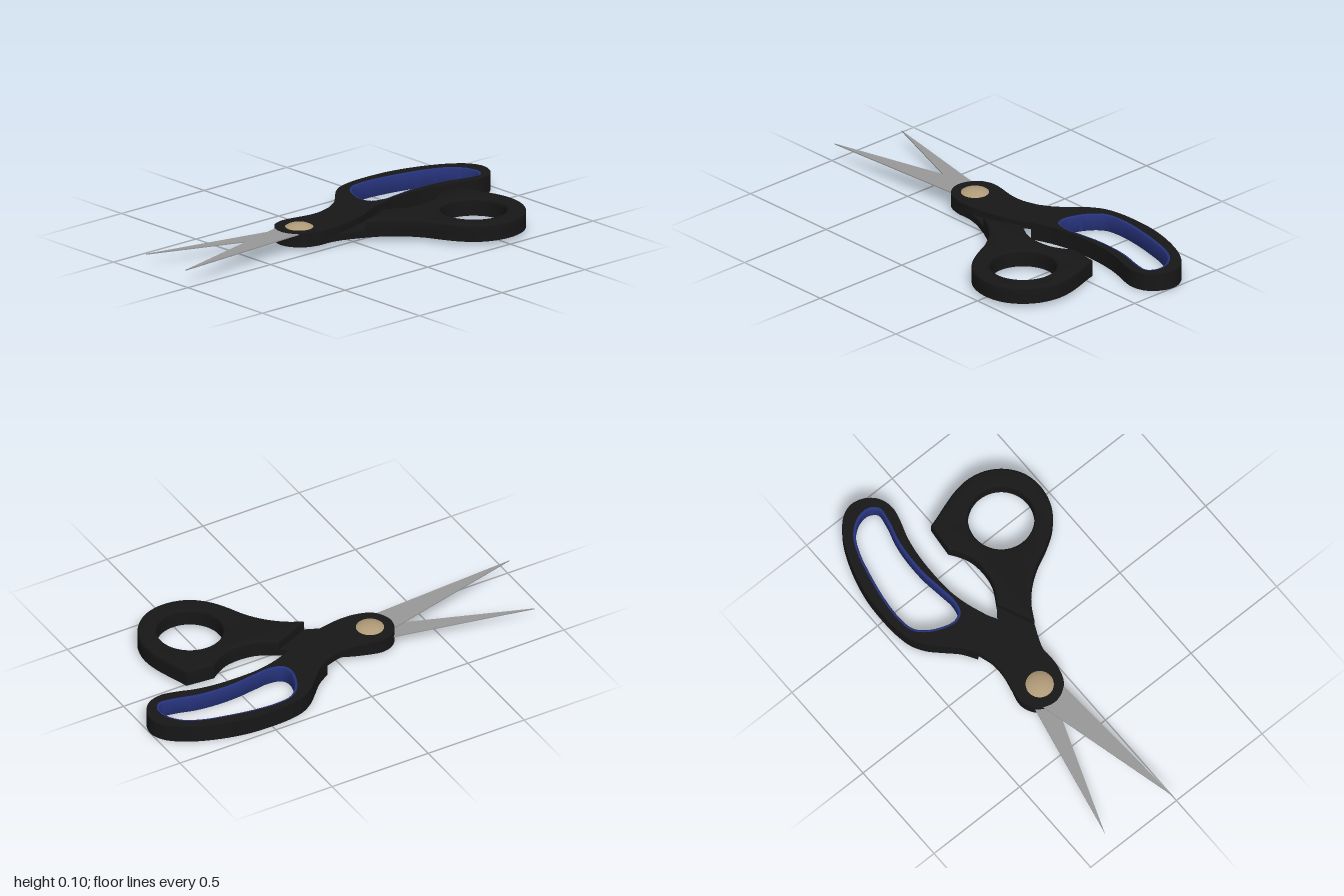
import * as THREE from 'three';
import { toCreasedNormals } from 'three/addons/utils/BufferGeometryUtils.js';

const mat = (color) => new THREE.MeshStandardMaterial({ color });
const black = mat(0x171717), blue = mat(0x26327a), steel = mat(0x989898), brass = mat(0xb09a78);

// Smooth curve through [x, y] points; y of a plan shape points to the back (-z)
function smooth(points, closed = false) {
  const curve = new THREE.CatmullRomCurve3(points.map(([x, y]) => new THREE.Vector3(x, y, 0)), closed);
  const dense = curve.getPoints(points.length * 5).map((p) => new THREE.Vector2(p.x, p.y));
  return dense.slice(0, -1);
}

// Closed outline made of smooth runs that meet at corners
const outline = (...runs) => runs.flatMap((r) => smooth(r));

// Moves a clockwise loop inwards by d
function inset(loop, d) {
  return loop.map((p, i) => {
    const a = loop[(i + loop.length - 1) % loop.length], b = loop[(i + 1) % loop.length];
    const t = b.clone().sub(a).normalize();
    return new THREE.Vector2(p.x + t.y * d, p.y - t.x * d);
  });
}

// Copy of a loop, wound clockwise or counter-clockwise
function wound(loop, clockwise) {
  return THREE.ShapeUtils.isClockWise(loop) === clockwise ? [...loop] : [...loop].reverse();
}

// Flat plate between heights y0 and y1, with optional hole and rounded rims
function plate(name, material, points, y0, y1, hole, bevel = 0) {
  const shape = new THREE.Shape(wound(points, false));
  if (hole) shape.holes.push(new THREE.Path(wound(hole, true)));
  const geo = new THREE.ExtrudeGeometry(shape, {
    depth: y1 - y0 - 2 * bevel, bevelEnabled: bevel > 0, bevelSize: bevel,
    bevelThickness: bevel, bevelOffset: -bevel, bevelSegments: 4,
  });
  geo.rotateX(-Math.PI / 2).translate(0, y0 + bevel, 0);
  const mesh = new THREE.Mesh(toCreasedNormals(geo, 0.6), material);
  mesh.name = name;
  return mesh;
}

const v = (list) => list.map(([x, y]) => new THREE.Vector2(x, y));

export function createModel() {
  const model = new THREE.Group();
  model.name = 'scissors';

  // Large handle: loop run, then the arm run around the pivot
  const largeLoop = [
    [0.088, 0.256], [0.152, 0.297], [0.211, 0.356], [0.265, 0.409], [0.329, 0.447], [0.414, 0.465],
    [0.511, 0.469], [0.618, 0.463], [0.725, 0.441], [0.832, 0.404], [0.914, 0.361], [0.975, 0.307],
    [1.0, 0.243], [0.983, 0.174], [0.935, 0.124], [0.869, 0.107], [0.8, 0.12], [0.714, 0.147],
    [0.618, 0.163], [0.511, 0.168], [0.393, 0.163], [0.297, 0.142], [0.2, 0.107],
  ];
  const largeArm = [
    [0.2, 0.107], [0.147, 0.078], [0.072, 0.051], [-0.035, 0.027], [-0.12, 0.016], [-0.195, 0.021],
    [-0.27, 0.051], [-0.31, 0.12], [-0.302, 0.184], [-0.265, 0.233], [-0.206, 0.254],
    [-0.14, 0.247], [-0.067, 0.233], [0.008, 0.233], [0.088, 0.256],
  ];
  const largeHole = smooth([
    [0.265, 0.238], [0.278, 0.302], [0.313, 0.37], [0.364, 0.416], [0.447, 0.43], [0.564, 0.422],
    [0.682, 0.4], [0.805, 0.367], [0.885, 0.324], [0.933, 0.259], [0.939, 0.195], [0.906, 0.152],
    [0.832, 0.158], [0.735, 0.184], [0.644, 0.195], [0.537, 0.195], [0.43, 0.182], [0.35, 0.174],
    [0.286, 0.192],
  ], true);
  const largeHandle = new THREE.Group();
  largeHandle.name = 'largeHandle';
  largeHandle.add(
    plate('largeHandleArm', black, outline(largeLoop, largeArm), 0.05, 0.083, largeHole),
    plate('largeHandleGrip', black, outline(largeLoop, [[0.2, 0.107], [0.088, 0.256]]), 0, 0.05, largeHole),
    plate('gripLining', blue, inset(largeHole, -0.01), 0.001, 0.082, inset(largeHole, 0.012), 0.006),
  );

  // Small handle: round thumb loop with a squared spur
  const smallLoop = [
    [0.04, -0.035], [0.113, -0.077], [0.187, -0.142], [0.242, -0.217], [0.284, -0.302], [0.332, -0.377],
    [0.393, -0.432], [0.459, -0.46], [0.537, -0.468], [0.618, -0.449], [0.685, -0.401], [0.734, -0.329],
    [0.755, -0.243], [0.749, -0.163], [0.727, -0.083], [0.705, -0.019], [0.69, 0.03],
  ];
  const spur = [[0.69, 0.03], [0.62, 0.037], [0.554, 0.043]];
  const smallInner = [
    [0.554, 0.043], [0.51, 0.013], [0.457, -0.011], [0.382, -0.019], [0.307, -0.008], [0.215, 0.041],
  ];
  const smallArm = [
    [0.215, 0.041], [0.16, 0.082], [0.07, 0.147], [-0.02, 0.195], [-0.12, 0.235], [-0.206, 0.254],
    [-0.265, 0.233], [-0.302, 0.184], [-0.31, 0.12], [-0.27, 0.051], [-0.195, 0.021], [-0.12, 0.019],
    [-0.05, 0.003], [0.04, -0.035],
  ];
  const thumbHole = new THREE.Path().absarc(0.517, -0.235, 0.15, 0, Math.PI * 2, true).getPoints(48).slice(0, -1);
  const smallHandle = new THREE.Group();
  smallHandle.name = 'smallHandle';
  smallHandle.add(
    plate('smallHandleArm', black, outline(smallLoop, spur, smallInner, smallArm), 0.018, 0.05, thumbHole),
    plate('smallHandleGrip', black,
      outline(smallLoop, spur, smallInner, [[0.215, 0.041], [0.04, -0.035]]), 0.03, 0.1, thumbHole, 0.012),
  );

  // Thin pointed blades, one over the other
  const upperBlade = plate('upperBlade', steel,
    v([[-1, 0.015], [-0.265, 0.06], [-0.2, 0.064], [-0.2, 0.218], [-0.275, 0.2]]), 0.076, 0.081);
  const lowerBlade = plate('lowerBlade', steel,
    v([[-0.93, 0.36], [-0.425, 0.174], [-0.2, 0.09], [-0.2, 0.208], [-0.265, 0.222]]), 0.053, 0.058);

  // Domed pivot screw showing on both faces
  const screw = new THREE.Mesh(new THREE.SphereGeometry(0.085, 40, 24), brass);
  screw.name = 'pivotScrew';
  screw.scale.y = 0.05 / 0.085;
  screw.position.set(-0.203, 0.05, -0.137);

  model.add(largeHandle, smallHandle, upperBlade, lowerBlade, screw);
  return model;
}
